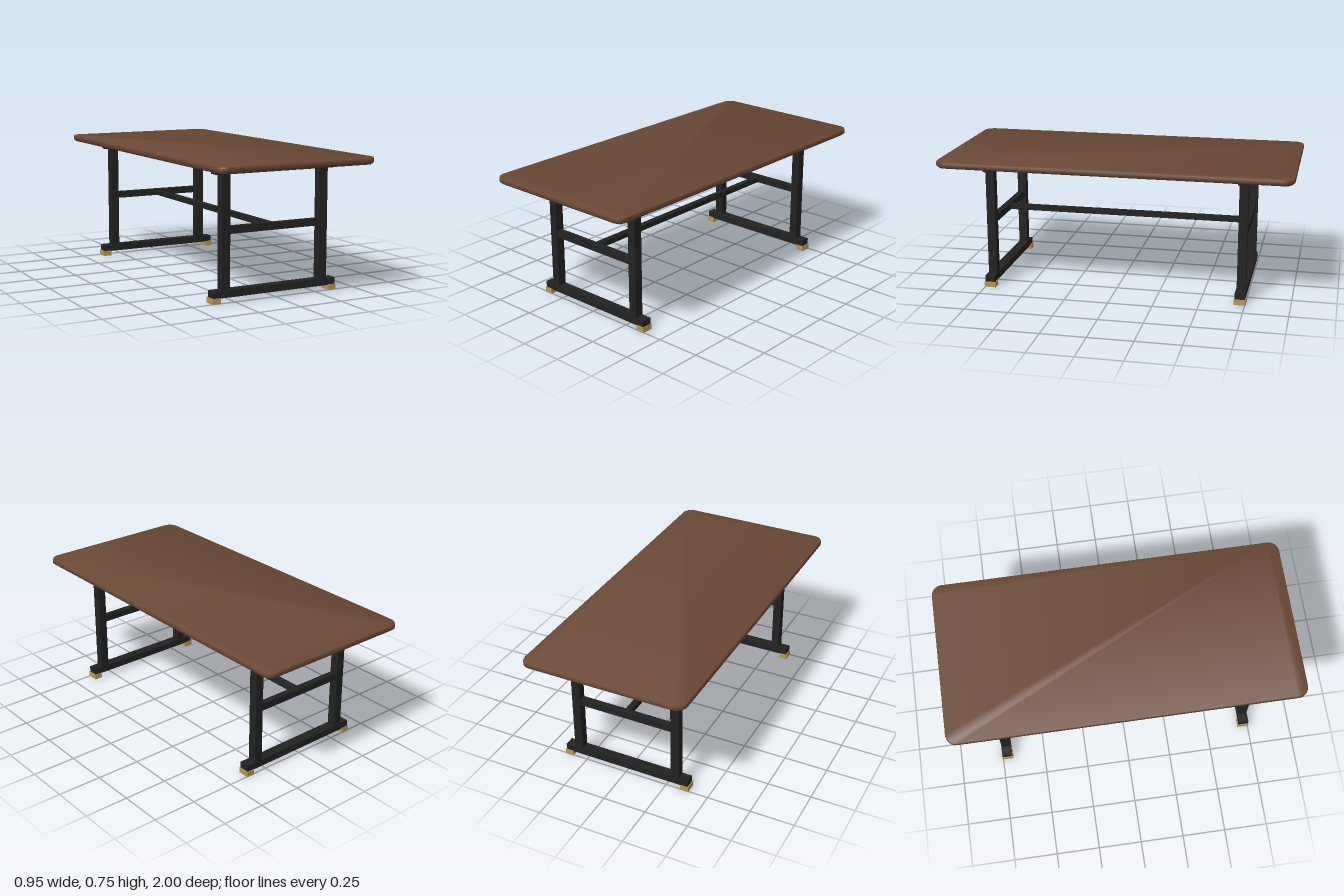
import * as THREE from 'three';

const wood = new THREE.MeshStandardMaterial({ color: 0x6a4835 });
wood.name = 'walnut brown';
const steel = new THREE.MeshStandardMaterial({ color: 0x222222 });
steel.name = 'frame black';
const brass = new THREE.MeshStandardMaterial({ color: 0xb8965a });
brass.name = 'foot tan';

// Box given by its centre x and z, its bottom and top heights, and its width and depth
function bar(parent, name, material, x, z, y0, y1, width, depth) {
  const mesh = new THREE.Mesh(new THREE.BoxGeometry(width, y1 - y0, depth), material);
  mesh.position.set(x, (y0 + y1) / 2, z);
  mesh.name = name;
  parent.add(mesh);
}

// Rounded slab made of stacked rings, softly shaded across its edges
function slabGeometry(halfWidth, halfLength, radius) {
  // inset from the outline, height, elevation of the normal in degrees
  const profile = [[0.014, 0.712, -70], [0, 0.724, -20], [0, 0.743, 15], [0.004, 0.75, 72]];
  const steps = 8;
  const corners = [[1, 1], [-1, 1], [-1, -1], [1, -1]];
  const count = corners.length * (steps + 1);
  const positions = [], normals = [], index = [];
  for (const [inset, y, degrees] of profile) {
    const tilt = THREE.MathUtils.degToRad(degrees);
    corners.forEach(([sx, sz], c) => {
      for (let i = 0; i <= steps; i++) {
        const a = (c + i / steps) * Math.PI / 2;
        const dx = Math.cos(a), dz = Math.sin(a);
        positions.push(
          sx * (halfWidth - radius) + dx * (radius - inset), y,
          sz * (halfLength - radius) + dz * (radius - inset));
        normals.push(dx * Math.cos(tilt), Math.sin(tilt), dz * Math.cos(tilt));
      }
    });
  }
  // Edge band
  for (let r = 0; r < profile.length - 1; r++) {
    for (let j = 0; j < count; j++) {
      const a = r * count + j, b = r * count + (j + 1) % count;
      index.push(a, a + count, b, a + count, b + count, b);
    }
  }
  // Underside and upper face
  const top = (profile.length - 1) * count;
  for (let j = 1; j < count - 1; j++) {
    index.push(0, j, j + 1, top, top + j + 1, top + j);
  }
  const geometry = new THREE.BufferGeometry();
  geometry.setAttribute('position', new THREE.Float32BufferAttribute(positions, 3));
  geometry.setAttribute('normal', new THREE.Float32BufferAttribute(normals, 3));
  geometry.setIndex(index);
  return geometry;
}

export function createModel() {
  const table = new THREE.Group();
  table.name = 'table';

  const tabletop = new THREE.Mesh(slabGeometry(0.473, 1, 0.06), wood);
  tabletop.name = 'tabletop';
  table.add(tabletop);

  // One trestle frame at each end
  for (const side of [1, -1]) {
    const trestle = new THREE.Group();
    trestle.name = side > 0 ? 'frontTrestle' : 'backTrestle';
    trestle.position.z = side * 0.722;
    bar(trestle, 'topRail', steel, 0, 0, 0.677, 0.713, 0.72, 0.06);
    bar(trestle, 'crossRail', steel, 0, 0, 0.363, 0.402, 0.56, 0.036);
    bar(trestle, 'baseRail', steel, 0, 0, 0.028, 0.067, 0.76, 0.058);
    for (const x of [-1, 1]) {
      bar(trestle, 'leg', steel, x * 0.301, 0, 0.066, 0.678, 0.048, 0.05);
      bar(trestle, 'foot', brass, x * 0.361, 0, 0, 0.031, 0.048, 0.066);
    }
    table.add(trestle);
  }

  // Long bar joining the trestles
  bar(table, 'stretcher', steel, 0, 0, 0.367, 0.397, 0.034, 1.43);
  return table;
}
